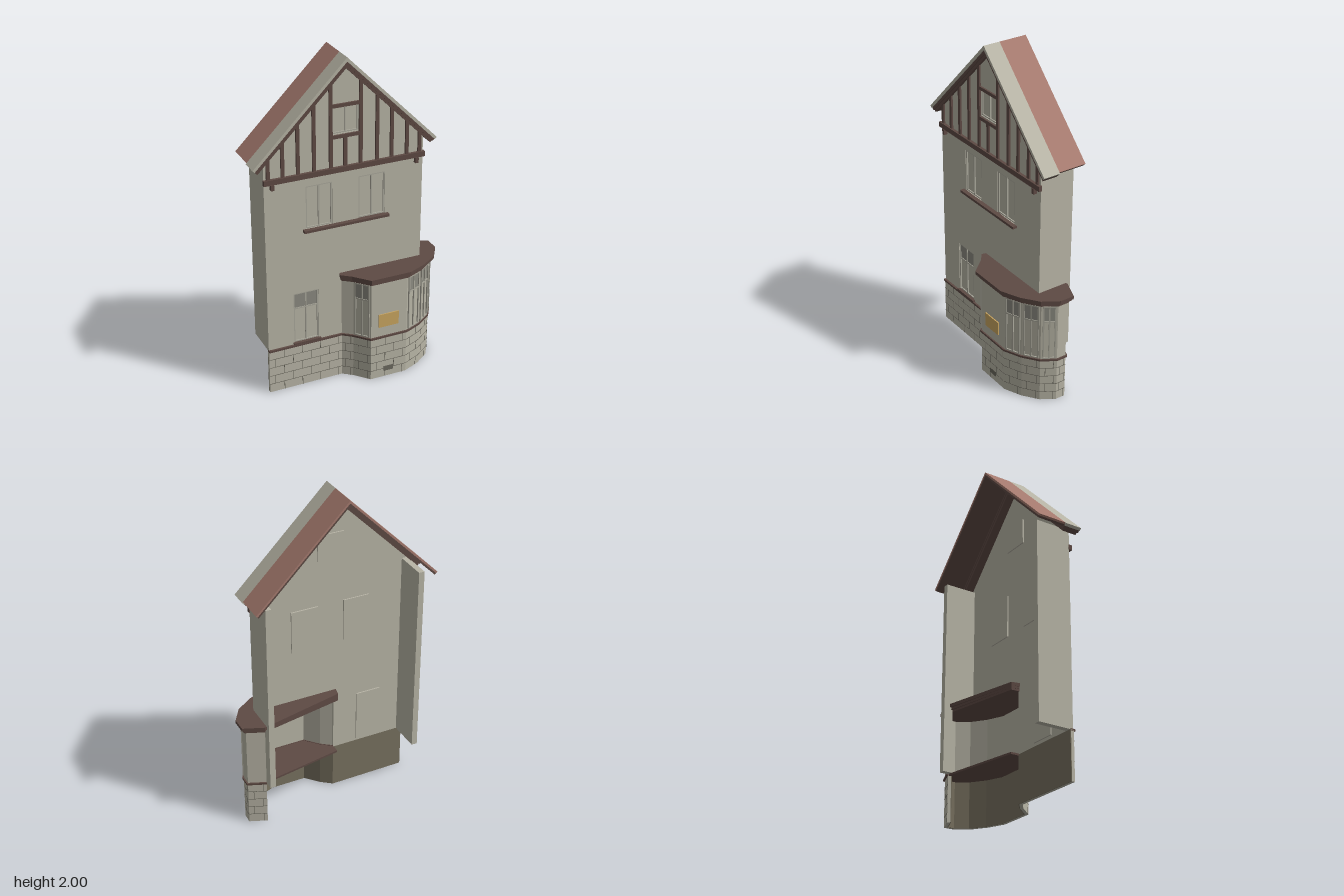
import * as THREE from 'three';

const mat = (name, color) => {
  const m = new THREE.MeshStandardMaterial({ color });
  m.name = name;
  return m;
};
const M = {
  plaster: mat('plaster', 0xb8b5a6),
  frame: mat('window frame', 0xaaa89b),
  glass: mat('upper glass', 0x8b8a80),
  timber: mat('dark timber', 0x5e4a44),
  tile: mat('roof tile', 0xa67b6f),
  inner: mat('plinth inside', 0x77705f),
  joint: mat('stone joint', 0x6b685e),
  sign: mat('sign', 0xc9a560),
};

const CX = -0.033; // ridge line
// plan of the front: flat wall, then the faceted corner bay
const BAY = [[-0.055, 0.042], [0, 0.085], [0.075, 0.17], [0.305, 0.17], [0.41, 0.125],
  [0.5, 0.06], [0.55, -0.02], [0.55, -0.08], [0.45, -0.12]];
const PLAN = [[-0.515, 0.045], ...BAY];

export function createModel() {
  const root = new THREE.Group();
  root.name = 'townHouse';

  function add(name, geo, material, parent = root) {
    const m = new THREE.Mesh(geo, material);
    m.name = name;
    parent.add(m);
    return m;
  }
  // box given by its limits
  function box(name, x0, x1, y0, y1, z0, z1, material, parent) {
    const g = new THREE.BoxGeometry(x1 - x0, y1 - y0, z1 - z0);
    g.translate((x0 + x1) / 2, (y0 + y1) / 2, (z0 + z1) / 2);
    return add(name, g, material, parent);
  }
  const shapeOf = (pts) => new THREE.Shape(pts.map(([x, y]) => new THREE.Vector2(x, y)));
  // outline in x,y pulled along z
  function slab(name, shape, z0, z1, material) {
    const g = new THREE.ExtrudeGeometry(shape, { depth: z1 - z0, bevelEnabled: false });
    g.translate(0, 0, z0);
    return add(name, g, material);
  }
  // plan in x,z pulled up along y
  function prism(name, pts, y0, y1, material) {
    const g = new THREE.ExtrudeGeometry(shapeOf(pts.map(([x, z]) => [x, -z])),
      { depth: y1 - y0, bevelEnabled: false });
    g.rotateX(-Math.PI / 2);
    g.translate(0, y0, 0);
    return add(name, g, material);
  }
  // mitred offset of a plan path, positive is outwards
  function offset(path, d) {
    const n = path.slice(1).map(([x, z], i) => {
      const dx = x - path[i][0], dz = z - path[i][1], l = Math.hypot(dx, dz);
      return [-dz / l, dx / l];
    });
    return path.map(([x, z], i) => {
      const a = n[Math.max(i - 1, 0)], b = n[Math.min(i, n.length - 1)];
      const k = d / (1 + a[0] * b[0] + a[1] * b[1]);
      return [x + (a[0] + b[0]) * k, z + (a[1] + b[1]) * k];
    });
  }
  const ribbon = (name, path, d0, d1, y0, y1, material) =>
    prism(name, [...offset(path, d1), ...offset(path, d0).reverse()], y0, y1, material);
  // group whose x axis runs along one side of the plan
  function facet(i, name) {
    const [a, b] = [PLAN[i], PLAN[i + 1]];
    const g = new THREE.Group();
    g.name = name;
    g.position.set(a[0], 0, a[1]);
    g.rotation.y = Math.atan2(a[1] - b[1], b[0] - a[0]);
    root.add(g);
    return { g, len: Math.hypot(b[0] - a[0], b[1] - a[1]) };
  }

  // casement frame: border, middle bar and optional transom with dark lights above
  function casement(x0, x1, y0, y1, z, transom, parent) {
    const w = 0.008, d = 0.008, mid = (x0 + x1) / 2;
    for (const x of [x0, mid - w / 2, x1 - w]) box('windowUpright', x, x + w, y0, y1, z, z + d, M.frame, parent);
    for (const y of [y0, y1 - w]) box('windowRail', x0, x1, y, y + w, z, z + d * 0.9, M.frame, parent);
    if (transom) {
      box('windowTransom', x0, x1, transom - w / 2, transom + w / 2, z, z + d * 0.9, M.frame, parent);
      box('upperGlass', x0 + w, x1 - w, transom, y1 - w, z, z + 0.003, M.glass, parent);
    }
  }

  // facade with window openings
  const facade = shapeOf([[-0.515, 0.28], [-0.05, 0.28], [-0.05, 0.67], [0.45, 0.67],
    [0.45, 1.47], [CX, 1.96], [-0.515, 1.47]]);
  const windows = [[-0.355, -0.2, 0.297, 0.62, 0.52], [-0.27, -0.11, 1.02, 1.28],
    [0.05, 0.215, 1.02, 1.28], [-0.11, 0.05, 1.56, 1.715]];
  for (const [x0, x1, y0, y1, transom] of windows) {
    facade.holes.push(new THREE.Path([[x0, y0], [x0, y1], [x1, y1], [x1, y0]]
      .map(([x, y]) => new THREE.Vector2(x, y))));
    box('windowPanel', x0, x1, y0, y1, 0.012, 0.028, M.plaster);
    casement(x0, x1, y0, y1, 0.028, transom);
  }
  slab('facade', facade, 0.02, 0.04, M.plaster);

  // side walls, the right one cut away where the bay opens
  box('sideWall', -0.515, -0.48, 0.28, 1.455, -0.175, 0.022, M.plaster);
  box('sideWall', 0.415, 0.45, 0.67, 1.455, -0.175, 0.022, M.plaster);
  box('sideWall', 0.415, 0.45, 0.28, 0.67, -0.175, -0.12, M.plaster);

  // sills
  box('upperSill', -0.29, 0.235, 1.005, 1.02, 0.035, 0.067, M.timber);
  box('lowerSill', -0.36, -0.19, 0.288, 0.298, 0.035, 0.055, M.timber);

  // roof: chevrons of given thickness below the top line
  function chevron(name, top, half, t, z0, z1, material) {
    const h = t / 2, e = top - half;
    slab(name, shapeOf([[CX - half, e], [CX, top], [CX + half, e],
      [CX + half - h, e - h], [CX, top - t], [CX - half + h, e - h]]), z0, z1, material);
  }
  chevron('roofTiles', 2, 0.548, 0.016, -0.202, -0.03, M.tile);
  chevron('roofLining', 1.984, 0.54, 0.016, -0.2, -0.03, M.timber);
  chevron('vergeCapping', 2, 0.553, 0.024, -0.03, 0.072, M.plaster);
  chevron('bargeBoard', 1.976, 0.541, 0.022, -0.035, 0.067, M.timber);
  chevron('innerBargeBoard', 1.954, 0.53, 0.02, -0.03, 0.058, M.timber);

  // timber framing of the gable
  const z0 = 0.036, z1 = 0.051;
  box('gableBeam', -0.518, 0.455, 1.335, 1.366, z0, 0.058, M.timber);
  for (const x of [-0.47, 0.405]) box('beamBracket', x - 0.01, x + 0.01, 1.303, 1.336, z0, 0.062, M.timber);
  for (const x of [-0.49, -0.405, -0.315, -0.22, -0.12, 0.06, 0.16, 0.25, 0.345, 0.425])
    box('gableStud', x - 0.01, x + 0.01, 1.36, 1.945 - Math.abs(x - CX), z0, z1, M.timber);
  for (const y of [1.545, 1.725]) box('gableRail', -0.115, 0.055, y - 0.01, y + 0.01, z0, z1, M.timber);
  box('shortStud', CX - 0.01, CX + 0.01, 1.36, 1.54, z0, z1, M.timber);

  // stone plinth with inner skin, floor and ledge
  ribbon('plinth', PLAN, -0.018, 0, 0, 0.28, M.plaster);
  ribbon('plinthInside', PLAN, -0.022, -0.018, 0, 0.28, M.inner);
  ribbon('plinthLedge', PLAN, -0.02, 0.009, 0.274, 0.286, M.timber);
  prism('bayFloor', [...offset(BAY, -0.004), [-0.05, -0.03]], 0.272, 0.284, M.timber);

  // joints between the stones
  for (let i = 0; i < PLAN.length - 1; i++) {
    const { g, len } = facet(i, 'stoneJoints');
    const n = Math.max(1, Math.round(len / 0.11));
    for (let c = 0; c < 5; c++) {
      const y = c * 0.055;
      if (c) box('bedJoint', 0, len, y - 0.0015, y + 0.0015, 0, 0.0012, M.joint, g);
      for (let k = 0; k < n; k++) {
        const x = (k + (c % 2 ? 0.3 : 0.8)) * len / n;
        box('uprightJoint', x - 0.0015, x + 0.0015, y, y + 0.055, 0, 0.0012, M.joint, g);
      }
    }
  }

  // bay walls, windows and stepped cornice
  ribbon('bayWall', BAY, -0.015, 0, 0.28, 0.66, M.plaster);
  for (const i of [2, 4, 5, 6]) {
    const { g, len } = facet(i, 'bayWindow');
    casement(0.01, len - 0.01, 0.29, 0.642, 0, 0.54, g);
  }
  [[0.01, 0.645, 0.658], [0.02, 0.658, 0.672], [0.031, 0.672, 0.692]].forEach(([d, y0, y1]) =>
    prism('bayCornice', [...offset(BAY, d), [-0.055, -0.03]], y0, y1, M.timber));

  // blank sign board and vent on the front of the bay
  box('signBoard', 0.122, 0.25, 0.35, 0.435, 0.168, 0.177, M.sign);
  box('airVent', 0.16, 0.222, 0.038, 0.07, 0.168, 0.173, M.joint);

  return root;
}
